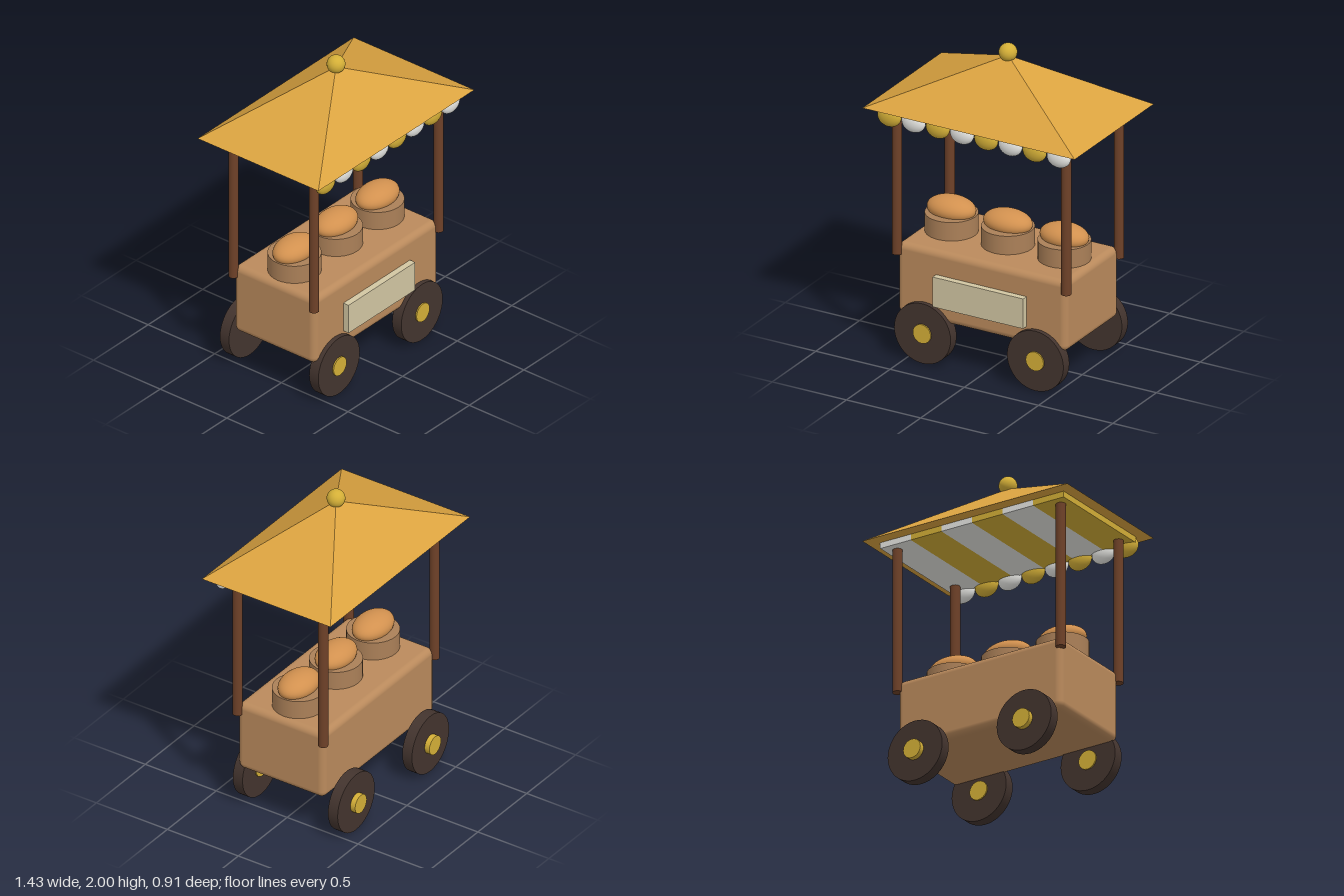
import * as THREE from 'three';
import { RoundedBoxGeometry } from 'three/addons/geometries/RoundedBoxGeometry.js';

const paint = (name, color) => {
  const m = new THREE.MeshStandardMaterial({ color });
  m.name = name;
  return m;
};

export function createModel() {
  const roofAmber = paint('roof amber', 0xdba340);
  const gold = paint('gold', 0xd4af37);
  const white = paint('white', 0xe8e8e4);
  const postBrown = paint('post brown', 0x6e4128);
  const cartWood = paint('cart wood', 0xba8a5c);
  const basketWood = paint('basket wood', 0xab8058);
  const crust = paint('bread crust', 0xd2914f);
  const cream = paint('sign cream', 0xd2c6a2);
  const wheelDark = paint('wheel dark brown', 0x43342e);

  const cart = new THREE.Group();
  cart.name = 'foodCart';
  const add = (name, geometry, material, x, y, z) => {
    const mesh = new THREE.Mesh(geometry, material);
    mesh.name = name;
    mesh.position.set(x, y, z);
    cart.add(mesh);
    return mesh;
  };

  // Body and front sign
  add('body', new RoundedBoxGeometry(1.14, 0.45, 0.61, 4, 0.04), cartWood, 0, 0.498, 0);
  add('sign', new THREE.BoxGeometry(0.61, 0.19, 0.065), cream, 0, 0.48, 0.312);

  // Baskets, each holding a loaf
  const basket = new THREE.CylinderGeometry(0.157, 0.157, 0.125, 32);
  const loaf = new THREE.SphereGeometry(1, 32, 20).scale(0.155, 0.075, 0.107);
  for (const x of [-0.38, 0, 0.38]) {
    add('basket', basket, basketWood, x, 0.778, 0);
    add('loaf', loaf, crust, x, 0.865, 0);
  }

  // Wheels with hubs; the rear pair sits further out
  const wheel = new THREE.CylinderGeometry(0.19, 0.19, 0.068, 40).rotateX(Math.PI / 2);
  const hub = new THREE.CylinderGeometry(0.06, 0.06, 0.085, 20).rotateX(Math.PI / 2);
  for (const x of [-0.38, 0.38]) {
    for (const [wheelZ, hubZ] of [[0.3, 0.3], [-0.37, -0.395]]) {
      add('wheel', wheel, wheelDark, x, 0.193, wheelZ);
      add('hub', hub, gold, x, 0.193, hubZ);
    }
  }

  // Corner posts
  const post = new THREE.CylinderGeometry(0.03, 0.03, 0.95, 20);
  for (const x of [-0.57, 0.57]) {
    for (const z of [-0.302, 0.302]) add('post', post, postBrown, x, 1.125, z);
  }

  // Pyramid roof with crisp ridges, and its finial
  const roof = new THREE.ConeGeometry(Math.SQRT2, 0.325, 4)
    .rotateY(Math.PI / 4).scale(0.715, 1, 0.453).toNonIndexed();
  roof.computeVertexNormals();
  add('roof', roof, roofAmber, 0, 1.7625, 0);
  add('finial', new THREE.SphereGeometry(0.055, 24, 16), gold, 0, 1.945, 0);

  // Striped lining under the roof
  const stripes = 6, stripeWidth = 1.28 / stripes;
  const stripe = new THREE.BoxGeometry(stripeWidth, 0.037, 0.755);
  for (let i = 0; i < stripes; i++) {
    const x = (i - (stripes - 1) / 2) * stripeWidth;
    add('liningStripe', stripe, i % 2 ? white : gold, x, 1.581, 0);
  }

  // Scalloped front trim
  const scallop = new THREE.SphereGeometry(1, 24, 16).scale(0.078, 0.065, 0.039);
  for (let i = 0; i < 8; i++) {
    add('scallop', scallop, i % 2 ? white : gold, (i - 3.5) * 0.163, 1.557, 0.388);
  }

  return cart;
}
